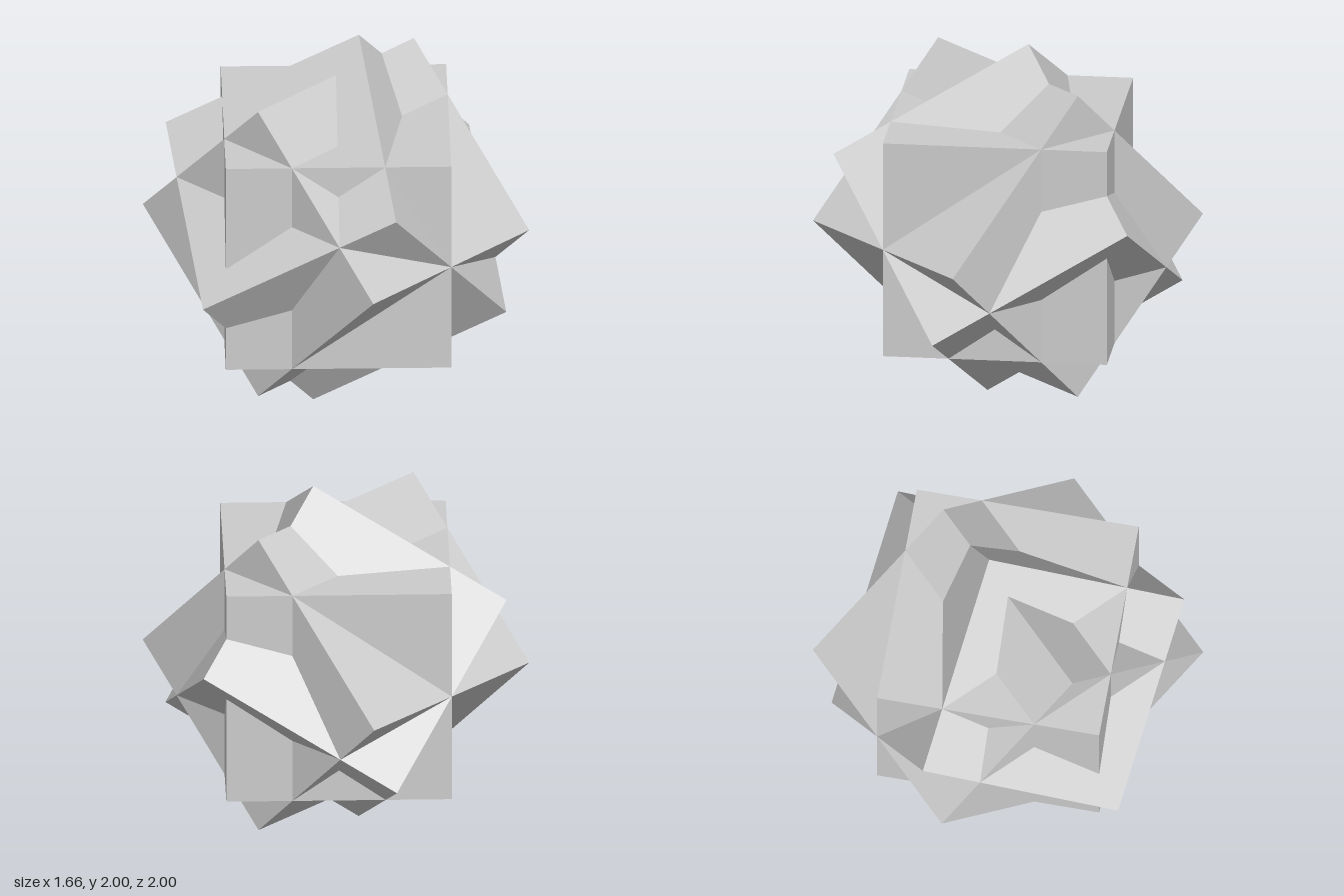
import * as THREE from 'three';

// Compound of three equal cubes sharing one centre
export function createModel() {
  const model = new THREE.Group();
  model.name = 'cubeCompound';
  const material = new THREE.MeshStandardMaterial({ color: 0xcccccc, flatShading: true });
  const edge = 2 * (2 - Math.SQRT2); // gives an overall height and depth of 2
  const geometry = new THREE.BoxGeometry(edge, edge, edge);

  // Each cube is turned 45 degrees on its own axis, then tipped about x
  const tilts = { uprightCube: 0, tiltedCube: Math.PI / 4, lyingCube: Math.PI / 2 };
  for (const [name, tilt] of Object.entries(tilts)) {
    const cube = new THREE.Mesh(geometry, material);
    cube.name = name;
    cube.rotation.set(tilt, Math.PI / 4, 0);
    cube.position.y = 1;
    model.add(cube);
  }
  return model;
}
